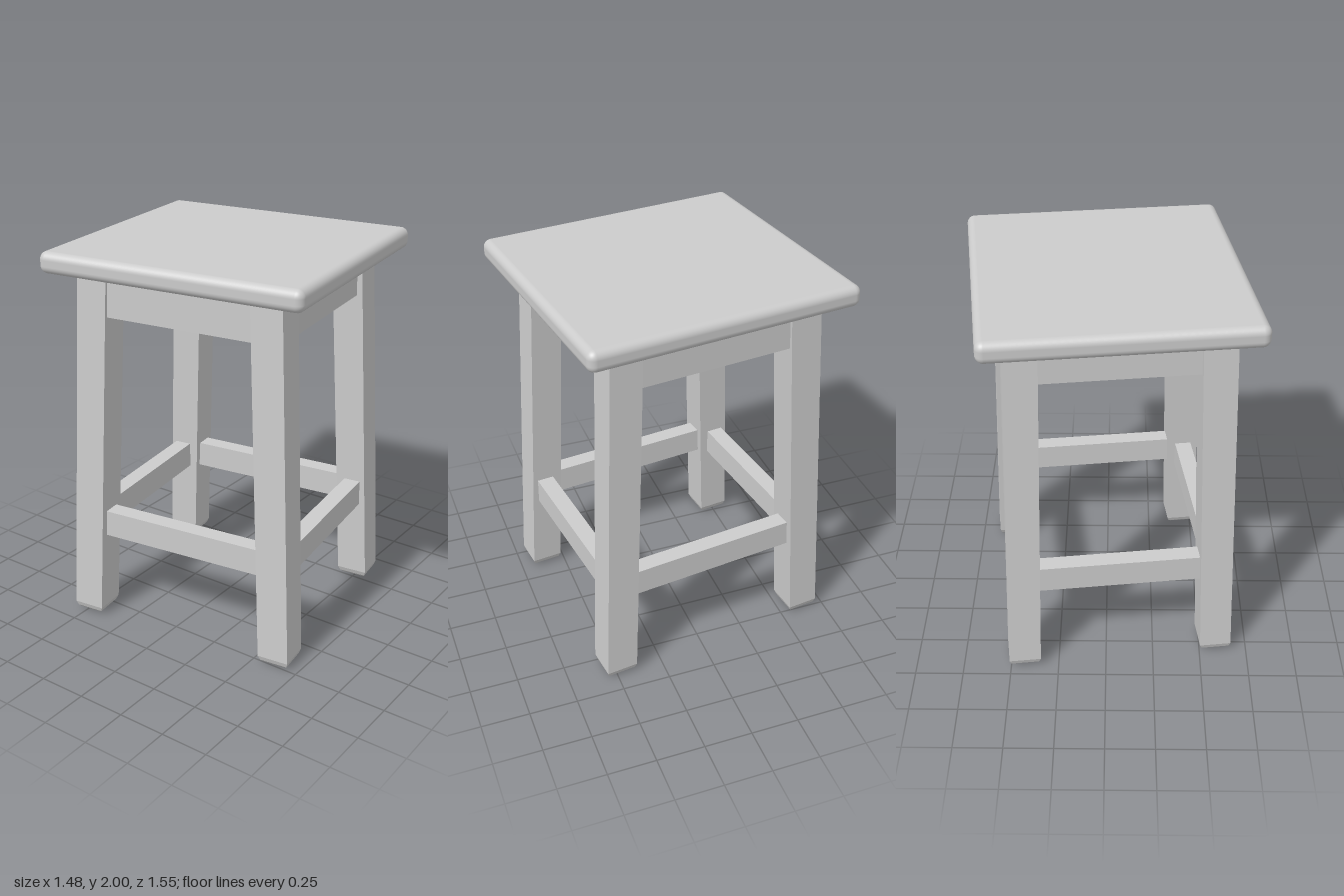
import * as THREE from 'three';
import { RoundedBoxGeometry } from 'three/addons/geometries/RoundedBoxGeometry.js';

const material = new THREE.MeshStandardMaterial({ color: 0xcccccc });
const LEG = 0.165;      // leg thickness
const TOP = 1.9;        // leg height
// leg centre offsets from the middle at height y (the legs splay outwards)
const legX = (y) => 0.51 - 0.05 * (y / TOP);
const legZ = (y) => 0.555 - 0.085 * (y / TOP);

function add(parent, name, geometry, x = 0, y = 0, z = 0) {
  const mesh = new THREE.Mesh(geometry, material);
  mesh.name = name;
  mesh.position.set(x, y, z);
  parent.add(mesh);
}

// splayed square leg with a rounded foot
function legGeometry(sx, sz) {
  // [height, inset] of each ring, from the floor up
  const rings = [[0, 0.04], [0.007, 0.022], [0.02, 0.009], [0.045, 0], [TOP, 0]];
  const n = rings.length - 1;
  const box = new THREE.BoxGeometry(1, 1, 1, 1, n, 1);
  const p = box.attributes.position;
  for (let i = 0; i < p.count; i++) {
    const [y, inset] = rings[Math.round((p.getY(i) + 0.5) * n)];
    const w = LEG - 2 * inset;
    p.setXYZ(i, sx * legX(y) + p.getX(i) * w, y, sz * legZ(y) + p.getZ(i) * w);
  }
  const geometry = box.toNonIndexed();
  geometry.computeVertexNormals();
  return geometry;
}

// four rails joining the legs; outX and outZ locate their outer faces
function addRails(parent, name, bottom, top, outX, outZ) {
  const thick = 0.09, h = top - bottom, y = (top + bottom) / 2;
  for (const s of [-1, 1]) {
    add(parent, (s > 0 ? 'front' : 'back') + name,
      new THREE.BoxGeometry(2 * legX(y), h, thick), 0, y, s * (outZ - thick / 2));
    add(parent, (s > 0 ? 'left' : 'right') + name,
      new THREE.BoxGeometry(thick, h, 2 * legZ(y)), s * (outX - thick / 2), y, 0);
  }
}

export function createModel() {
  const stool = new THREE.Group();
  stool.name = 'stool';

  // seat slab with soft edges
  add(stool, 'seat', new RoundedBoxGeometry(1.32, 0.11, 1.4, 5, 0.04), 0, 1.945, 0);

  // legs
  for (const sx of [-1, 1]) {
    for (const sz of [-1, 1]) {
      add(stool, (sz > 0 ? 'front' : 'back') + (sx > 0 ? 'Left' : 'Right') + 'Leg', legGeometry(sx, sz));
    }
  }

  // aprons under the seat and stretchers near the floor
  addRails(stool, 'Apron', 1.68, 1.9, 0.53, 0.53);
  addRails(stool, 'Stretcher', 0.475, 0.615, 0.54, 0.583);

  // the stool stands slightly turned
  const model = new THREE.Group();
  stool.rotation.y = 0.126;
  model.add(stool);
  return model;
}
